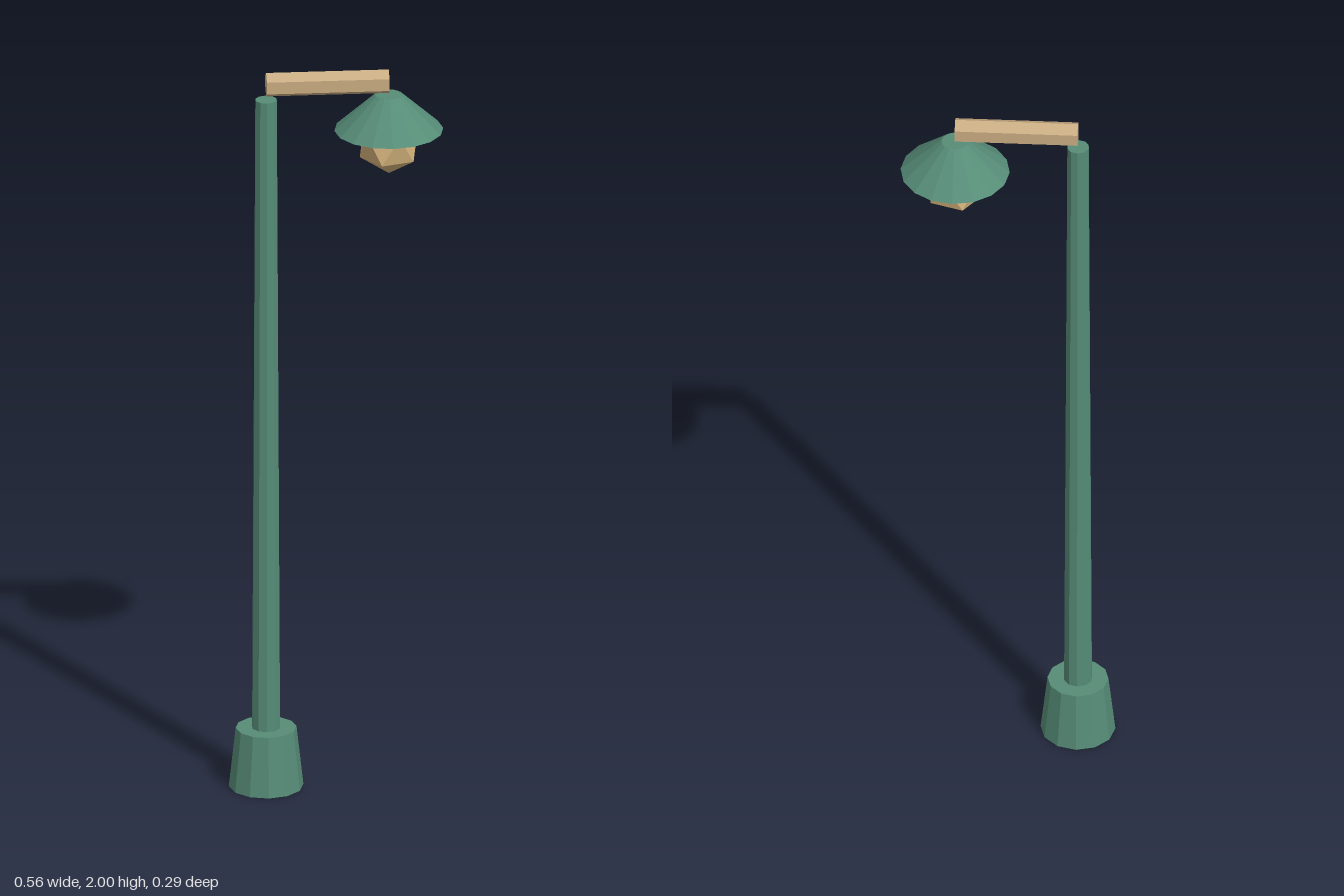
import * as THREE from 'three';

const flat = (name, color) => {
  const m = new THREE.MeshStandardMaterial({ color, flatShading: true });
  m.name = name;
  return m;
};

export function createModel() {
  const green = flat('green paint', 0x568c77);
  const wood = flat('tan wood', 0xc9ac82);
  const glow = flat('warm lamp', 0xd2b07a);

  const group = new THREE.Group();
  group.name = 'streetLamp';
  const poleX = -0.184, lampX = 0.138;

  const add = (name, geometry, material, x, y) => {
    const mesh = new THREE.Mesh(geometry, material);
    mesh.name = name;
    mesh.position.set(x, y, 0);
    group.add(mesh);
  };

  // Upright tapered prism standing between two heights
  const taper = (name, rTop, rBottom, y0, y1, sides, x) =>
    add(name, new THREE.CylinderGeometry(rTop, rBottom, y1 - y0, sides), green, x, (y0 + y1) / 2);

  taper('base', 0.08, 0.098, 0, 0.163, 12, poleX);
  taper('pole', 0.029, 0.038, 0.1, 1.925, 10, poleX);
  taper('shade', 0.036, 0.143, 1.832, 1.93, 16, lampX);

  // Hexagonal arm with one edge uppermost
  const arm = new THREE.CylinderGeometry(0.033, 0.033, lampX - poleX, 6);
  arm.rotateY(Math.PI / 6).rotateZ(Math.PI / 2);
  add('arm', arm, wood, (poleX + lampX) / 2, 1.967);

  // Faceted bulb standing on one corner
  const bulb = new THREE.IcosahedronGeometry(0.085, 0);
  bulb.rotateX(-Math.atan((1 + Math.sqrt(5)) / 2)).rotateY(Math.PI / 2);
  add('bulb', bulb, glow, lampX, 1.794);

  return group;
}
